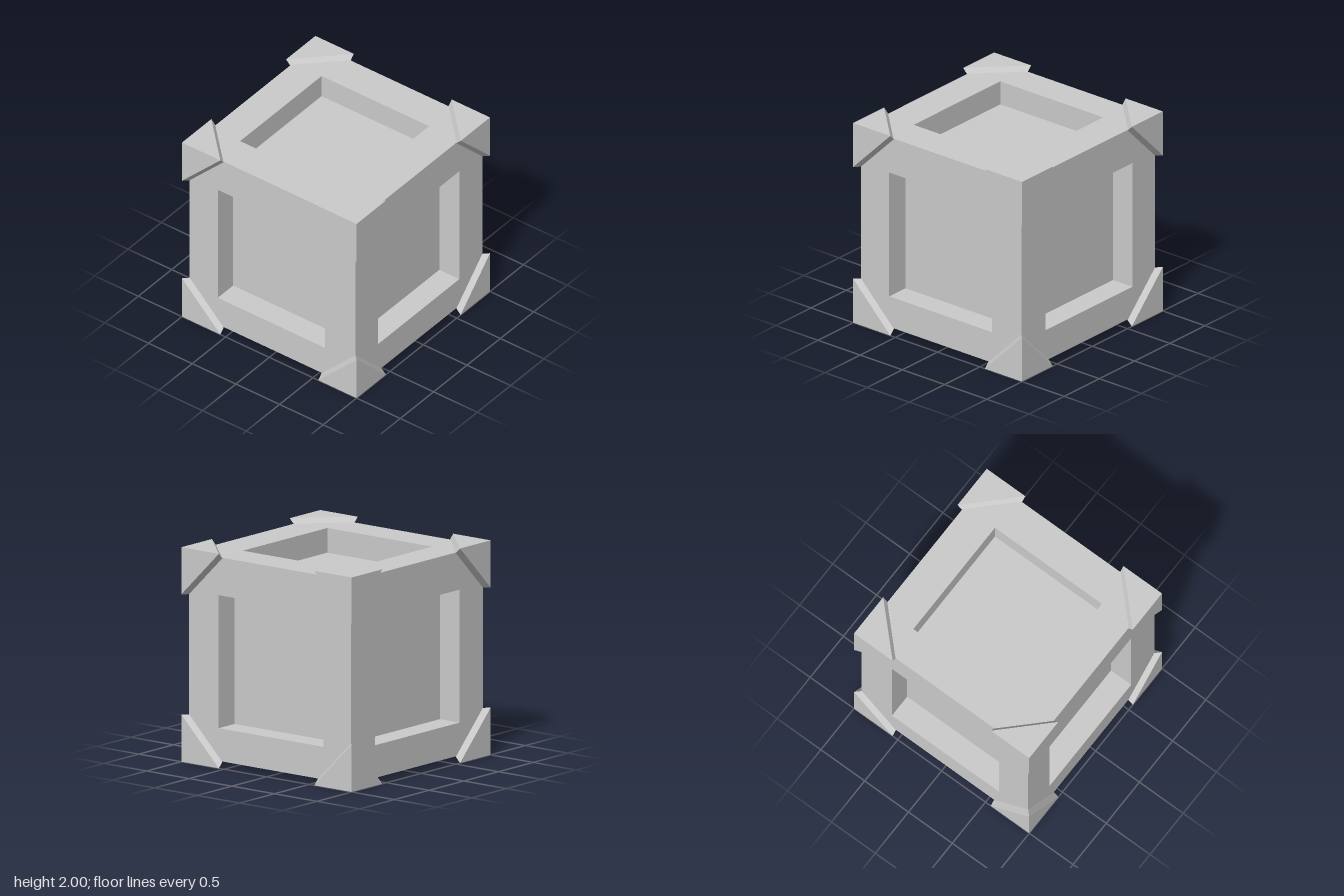
import * as THREE from 'three';
import { mergeGeometries } from 'three/addons/utils/BufferGeometryUtils.js';
import { ConvexGeometry } from 'three/addons/geometries/ConvexGeometry.js';

const HALF = 0.95;    // half size of the cube body
const DEPTH = 0.23;   // depth of the recesses
const LEG = 0.44;     // leg of the corner guards along each edge
const RECESS = new THREE.Vector3(1.22, 1.24, 1.23);             // recess size per axis
const OFFSET = new THREE.Vector3(-0.005, -0.025, -0.0125);      // recess centre from body centre

const V = (x, y, z) => new THREE.Vector3(x, y, z);

// One side of the crate: square frame, four recess walls and a floor.
// u and v lie in the side, w points outwards.
function sideGeometry(u, v) {
  const w = u.clone().cross(v);
  const cu = OFFSET.dot(u), cv = OFFSET.dot(v);
  const a = Math.abs(RECESS.dot(u)), b = Math.abs(RECESS.dot(v));
  const rect = (Type, x0, y0, x1, y1) => {
    const path = new Type();
    path.moveTo(x0, y0).lineTo(x1, y0).lineTo(x1, y1).lineTo(x0, y1).closePath();
    return path;
  };
  const frame = rect(THREE.Shape, -HALF, -HALF, HALF, HALF);
  frame.holes.push(rect(THREE.Path, cu - a / 2, cv - b / 2, cu + a / 2, cv + b / 2));
  const parts = [
    new THREE.ShapeGeometry(frame).translate(0, 0, HALF),
    new THREE.PlaneGeometry(a, b).translate(cu, cv, HALF - DEPTH),
  ];
  for (const s of [-1, 1]) {
    const z = HALF - DEPTH / 2;
    parts.push(
      new THREE.PlaneGeometry(DEPTH, b).rotateY(-s * Math.PI / 2).translate(cu + s * a / 2, cv, z),
      new THREE.PlaneGeometry(a, DEPTH).rotateX(s * Math.PI / 2).translate(cu, cv + s * b / 2, z),
    );
  }
  return mergeGeometries(parts).applyMatrix4(new THREE.Matrix4().makeBasis(u, v, w));
}

// Corner guard: three outer triangles with bevelled strips down to the body
function cornerGeometry(sx, sy, sz) {
  const e = 1 - LEG;
  const points = [
    V(1, 1, 1),
    V(e, 1, 1), V(1, e, 1), V(1, 1, e),
    V(e, HALF, HALF), V(HALF, e, HALF), V(HALF, HALF, e),
  ].map((p) => p.multiply(V(sx, sy, sz)));
  return new ConvexGeometry(points);
}

export function createModel() {
  const model = new THREE.Group();
  model.name = 'crate';
  const material = new THREE.MeshStandardMaterial({ color: 0xcccccc, flatShading: true });

  // Body with a recessed panel on all six sides
  const body = new THREE.Group();
  body.name = 'body';
  body.position.y = 1.005;
  const sides = {
    frontPanel: [V(1, 0, 0), V(0, 1, 0)],
    backPanel: [V(-1, 0, 0), V(0, 1, 0)],
    leftPanel: [V(0, 0, -1), V(0, 1, 0)],
    rightPanel: [V(0, 0, 1), V(0, 1, 0)],
    topPanel: [V(1, 0, 0), V(0, 0, -1)],
    bottomPanel: [V(1, 0, 0), V(0, 0, 1)],
  };
  for (const [name, [u, v]] of Object.entries(sides)) {
    const panel = new THREE.Mesh(sideGeometry(u, v), material);
    panel.name = name;
    body.add(panel);
  }
  model.add(body);

  // Eight corner guards
  for (const sy of [-1, 1]) for (const sz of [-1, 1]) for (const sx of [-1, 1]) {
    const corner = new THREE.Mesh(cornerGeometry(sx, sy, sz), material);
    corner.name = `${sy > 0 ? 'top' : 'bottom'}${sz > 0 ? 'Front' : 'Back'}${sx > 0 ? 'Left' : 'Right'}Corner`;
    corner.position.y = 1;
    model.add(corner);
  }
  return model;
}
